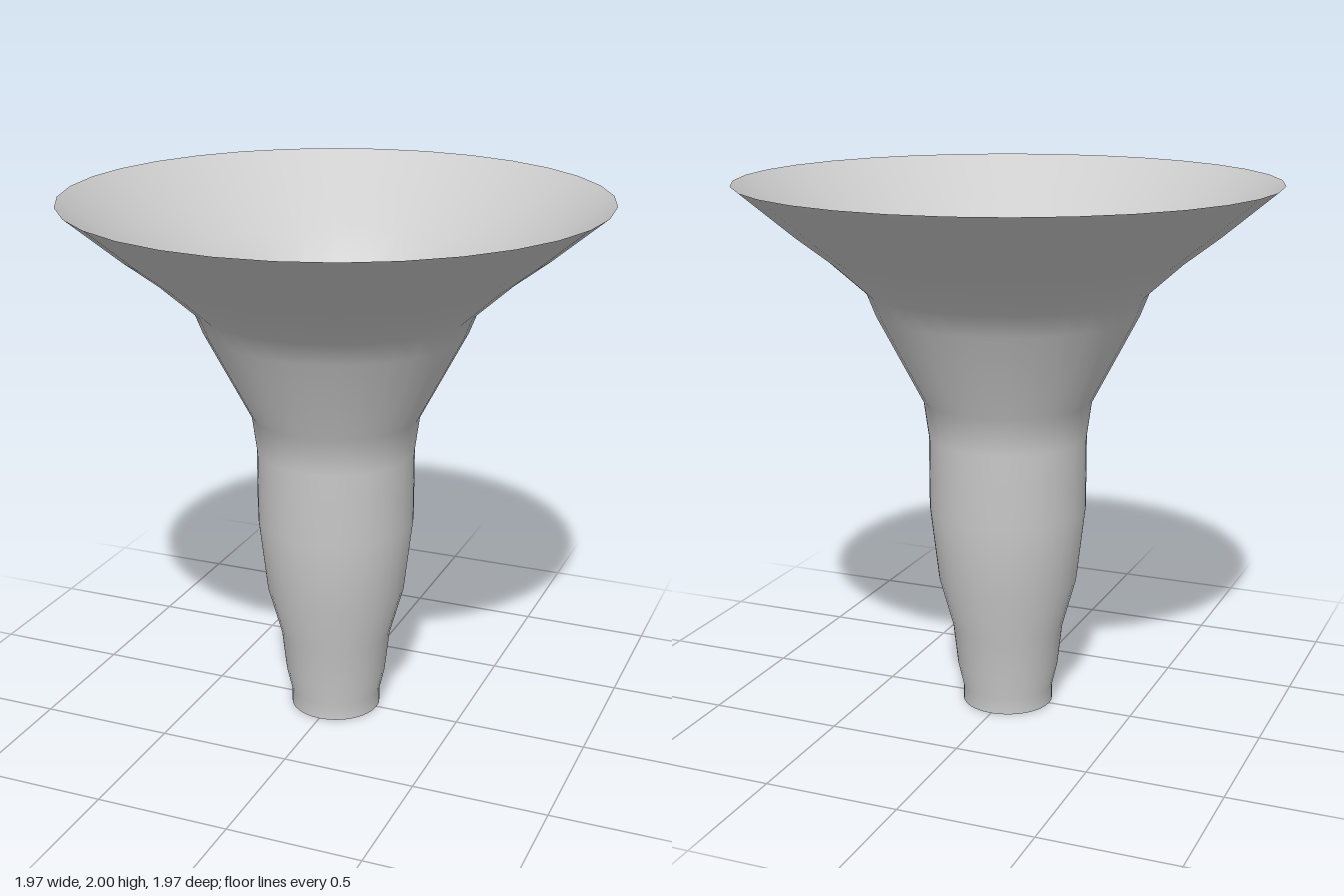
import * as THREE from 'three';

export function createModel() {
  const group = new THREE.Group();
  group.name = 'flaredVase';

  // Wall outline from the open foot up to the wide rim: [radius, height]
  const profile = [
    [0.172, 0], [0.172, 0.06], [0.193, 0.15], [0.211, 0.31], [0.263, 0.5],
    [0.295, 0.78], [0.295, 1.055], [0.314, 1.195], [0.485, 1.525],
    [0.517, 1.607], [0.66, 1.736], [0.79, 1.836], [0.985, 2],
  ].map(([r, y]) => new THREE.Vector2(r, y));

  // Thin, open-ended shell, visible inside and out
  const material = new THREE.MeshStandardMaterial({ color: 0xcccccc, side: THREE.DoubleSide });
  const shell = new THREE.Mesh(new THREE.LatheGeometry(profile, 32), material);
  shell.name = 'trumpetShell';
  group.add(shell);

  return group;
}
